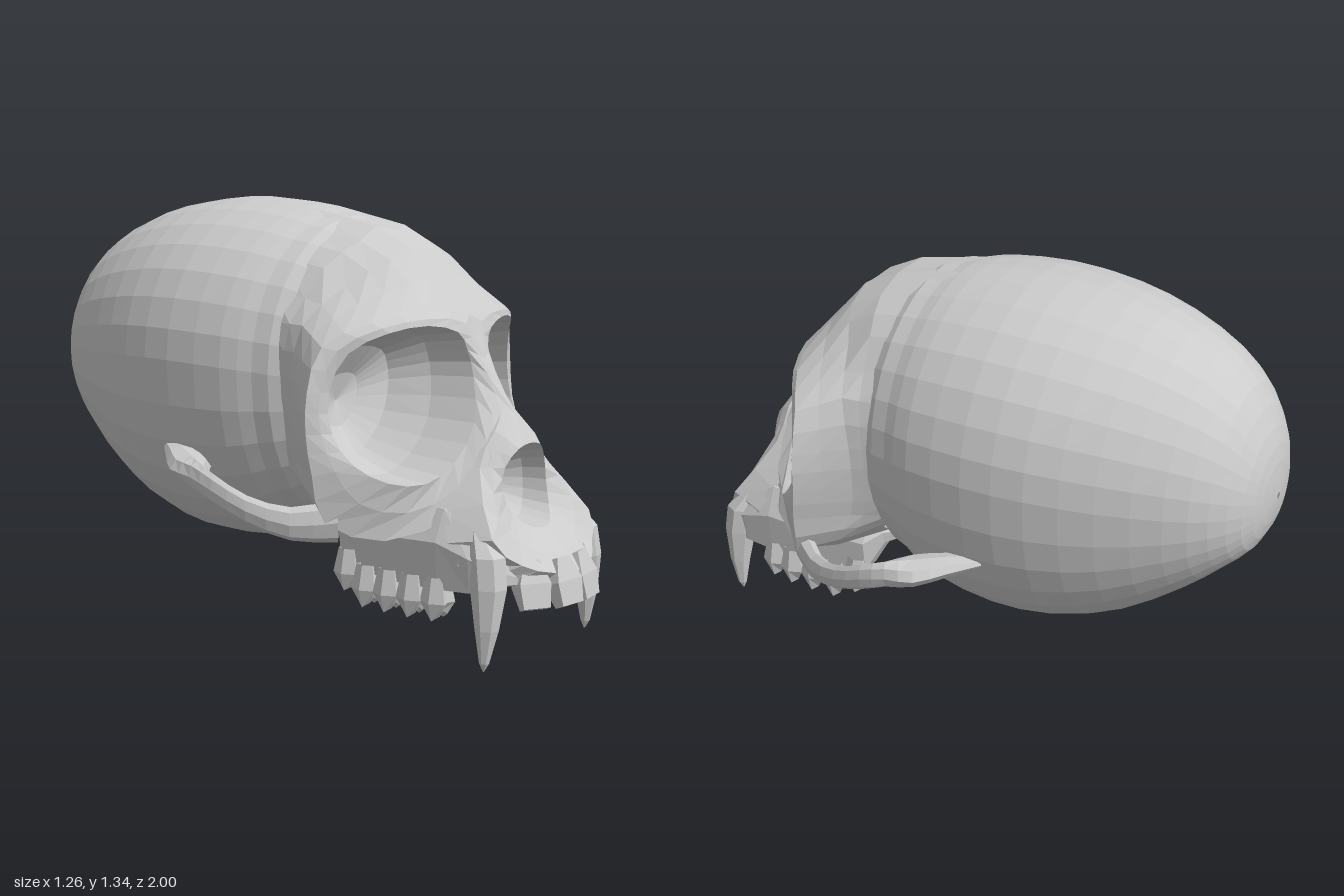
import * as THREE from 'three';

const V = (x, y, z) => new THREE.Vector3(x, y, z);
const vecs = (list) => list.map((p) => V(...p));
const bone = new THREE.MeshStandardMaterial({ color: 0xcccccc, flatShading: true, side: THREE.DoubleSide });

// Smooth a row of points into n steps
function refine(points, n, closed) {
  const pts = new THREE.CatmullRomCurve3(points, closed, 'catmullrom', 0.5).getPoints(n);
  return closed ? pts.slice(0, n) : pts;
}

// Smooth a stack of rings lengthwise
function refineRings(rings, n) {
  const rows = rings[0].map((_, j) => refine(rings.map((r) => r[j]), n, false));
  return Array.from({ length: n + 1 }, (_, i) => rows.map((r) => r[i]));
}

// Skin between consecutive rings of equal length
function loft(rings, closed = true) {
  const m = rings[0].length, pos = [], index = [];
  rings.forEach((r) => r.forEach((p) => pos.push(p.x, p.y, p.z)));
  for (let i = 0; i < rings.length - 1; i++) {
    for (let j = 0; j < (closed ? m : m - 1); j++) {
      const k = (j + 1) % m, a = i * m + j, b = i * m + k, c = b + m, d = a + m;
      index.push(a, b, d, b, c, d);
    }
  }
  const g = new THREE.BufferGeometry();
  g.setAttribute('position', new THREE.Float32BufferAttribute(pos, 3));
  g.setIndex(index);
  g.computeVertexNormals();
  return g;
}

function mirrored(geo) {
  const g = geo.clone().scale(-1, 1, 1), ix = g.index.array;
  for (let i = 0; i < ix.length; i += 3) [ix[i], ix[i + 1]] = [ix[i + 1], ix[i]];
  g.computeVertexNormals();
  return g;
}

// Move ring towards a point, by different amounts across and in depth
const pull = (ring, c, across, depth) => ring.map((p) => V(
  p.x + (c.x - p.x) * across, p.y + (c.y - p.y) * across, p.z + (c.z - p.z) * depth));

function craniumGeometry() {
  // z, bottom, top, half width, height of widest point
  const sections = [
    [-1, 0.79, 0.81, 0.01, 0.8], [-0.99, 0.71, 0.91, 0.1, 0.8], [-0.96, 0.63, 1.01, 0.19, 0.81],
    [-0.89, 0.56, 1.13, 0.275, 0.82], [-0.78, 0.46, 1.22, 0.35, 0.83], [-0.6, 0.33, 1.295, 0.43, 0.84],
    [-0.4, 0.25, 1.335, 0.49, 0.85], [-0.2, 0.23, 1.345, 0.51, 0.85], [0, 0.255, 1.325, 0.49, 0.84],
    [0.1, 0.31, 1.3, 0.455, 0.83], [0.2, 0.365, 1.265, 0.415, 0.82], [0.235, 0.5, 1.1, 0.25, 0.8],
    [0.24, 0.78, 0.82, 0.01, 0.8]];
  const rings = sections.map(([z, lo, hi, w, mid]) => Array.from({ length: 32 }, (_, j) => {
    const a = (j / 32) * Math.PI * 2, s = Math.sin(a), c = Math.cos(a);
    // the underside is a little squarer than the vault
    if (s >= 0) return V(w * c, mid + s * (hi - mid), z);
    return V(w * Math.sign(c) * Math.abs(c) ** 0.82, mid - (-s) ** 0.9 * (mid - lo), z);
  }));
  return loft(refineRings(rings, 24));
}

// Eye socket with brow, cheek and the wall behind it, one side
function orbitGeometry() {
  const rim = vecs([[0.09, 0.955, 0.6], [0.2, 0.98, 0.57], [0.33, 0.965, 0.52], [0.43, 0.91, 0.45],
    [0.475, 0.8, 0.415], [0.48, 0.68, 0.43], [0.455, 0.59, 0.49], [0.38, 0.535, 0.56], [0.28, 0.525, 0.62],
    [0.19, 0.58, 0.66], [0.1, 0.69, 0.67], [0.05, 0.82, 0.63], [0.055, 0.9, 0.61]]);
  const edge = vecs([[0, 1.0, 0.58], [0.18, 1.02, 0.55], [0.36, 0.995, 0.48], [0.49, 0.93, 0.4],
    [0.54, 0.8, 0.385], [0.545, 0.68, 0.385], [0.535, 0.56, 0.4], [0.5, 0.42, 0.42], [0.37, 0.36, 0.54],
    [0.25, 0.45, 0.72], [0.13, 0.6, 0.755], [0, 0.72, 0.74], [0, 0.87, 0.635]]);
  const back = vecs([[0, 1.185, 0.42], [0.16, 1.165, 0.4], [0.29, 1.09, 0.33], [0.42, 0.98, 0.27],
    [0.44, 0.82, 0.24], [0.43, 0.68, 0.24], [0.42, 0.56, 0.26], [0.42, 0.45, 0.31], [0.3, 0.34, 0.42],
    [0.24, 0.4, 0.6], [0.13, 0.58, 0.66], [0, 0.69, 0.66], [0, 0.86, 0.56]]);
  const join = vecs([[0, 1.302, 0.06], [0.17, 1.258, 0.06], [0.29, 1.17, 0.08], [0.39, 0.98, 0.1],
    [0.4, 0.82, 0.12], [0.38, 0.68, 0.13], [0.36, 0.56, 0.15], [0.32, 0.48, 0.2], [0.24, 0.42, 0.25],
    [0.2, 0.42, 0.55], [0.13, 0.58, 0.62], [0, 0.69, 0.62], [0, 0.86, 0.52]]);
  const [r, e, b, q] = [rim, edge, back, join].map((row) => refine(row, 26, true).map((p) => V(Math.max(0, p.x), p.y, p.z)));
  const between = (s, t, push) => s.map((p, i) => p.clone().lerp(t[i], 0.5).add(V(0, 0, push)));
  // rounded forehead above the brow
  const crown = b.map((p, i) => p.clone().lerp(q[i], 0.33).add(V(0, p.y > 1.05 ? 0.024 : 0, 0)));
  const apex = V(0.26, 0.74, 0.27);
  return loft([pull(r, apex, 1, 1), pull(r, apex, 0.65, 0.93), pull(r, apex, 0.3, 0.75), pull(r, apex, 0.08, 0.4),
    r, between(r, e, 0.008), e, between(e, b, 0), b, crown, q]);
}

// Nasal opening and front of the upper jaw, one side
function noseGeometry() {
  const rim = vecs([[0, 0.63, 0.8], [0.06, 0.62, 0.8], [0.11, 0.57, 0.785], [0.122, 0.5, 0.785],
    [0.1, 0.43, 0.81], [0.05, 0.39, 0.845], [0, 0.385, 0.86]]);
  const outer = vecs([[0, 0.75, 0.715], [0.09, 0.67, 0.735], [0.17, 0.57, 0.735], [0.275, 0.39, 0.85],
    [0.2, 0.31, 0.905], [0.11, 0.28, 0.955], [0, 0.27, 0.975]]);
  const back = vecs([[0, 0.73, 0.6], [0.12, 0.64, 0.62], [0.22, 0.53, 0.64], [0.31, 0.37, 0.72],
    [0.28, 0.26, 0.8], [0.14, 0.24, 0.9], [0, 0.24, 0.92]]);
  const [r, o, b] = [rim, outer, back].map((row) => refine(row, 12, false));
  const middle = r.map((p, i) => p.clone().lerp(o[i], 0.55).add(V(0, 0, 0.006)));
  const pit = V(0, 0.5, 0.62);
  return loft([pull(r, pit, 1, 1), pull(r, pit, 0.5, 0.9), pull(r, pit, 0.12, 0.45), r, middle, o, b], false);
}

// Upper jaw with hollow palate, one side
function jawGeometry() {
  // z, half width, palate height, tooth edge height, shoulder height
  const slices = [[0.19, 0.17, 0.38, 0.37, 0.4], [0.26, 0.24, 0.36, 0.35, 0.42], [0.31, 0.29, 0.34, 0.25, 0.43],
    [0.5, 0.315, 0.32, 0.225, 0.45], [0.68, 0.315, 0.31, 0.225, 0.46], [0.79, 0.31, 0.3, 0.23, 0.4],
    [0.86, 0.3, 0.3, 0.26, 0.34], [0.885, 0.2, 0.28, 0.25, 0.29], [0.93, 0.1, 0.265, 0.25, 0.27]];
  return loft(slices.map(([z, w, roof, low, top]) => vecs([[0, roof, z], [w * 0.6, roof - 0.01, z], [w * 0.74, low, z],
    [w * 0.97, low, z], [w, low * 0.4 + top * 0.6, z], [w * 0.86, top, z], [w * 0.68, top, z],
    [w * 0.45, Math.min(top, 0.36), z], [0, Math.min(top, 0.36), z]])), false);
}

// Cheek arch standing clear of the braincase
function archGeometry() {
  // x, y, z, height, thickness
  const path = [[0.45, 0.42, 0.43, 0.13, 0.07], [0.535, 0.41, 0.32, 0.1, 0.055], [0.59, 0.445, 0.2, 0.085, 0.04],
    [0.612, 0.495, 0.09, 0.09, 0.035], [0.598, 0.525, 0.01, 0.09, 0.06], [0.555, 0.535, -0.06, 0.08, 0.13],
    [0.5, 0.555, -0.15, 0.06, 0.1], [0.45, 0.57, -0.24, 0.03, 0.05]];
  const rings = path.map(([x, y, z, h, t], i) => {
    const a = path[Math.max(0, i - 1)], b = path[Math.min(path.length - 1, i + 1)];
    const side = V(a[2] - b[2], 0, b[0] - a[0]).normalize();
    return Array.from({ length: 8 }, (_, j) => {
      const u = (j / 8) * Math.PI * 2;
      return V(x, y - Math.sin(u) * h / 2, z).addScaledVector(side, Math.cos(u) * t / 2);
    });
  });
  return loft(refineRings(rings, 14));
}

function canineGeometry() {
  const steps = [[0.25, 0.42, 0.78, 0.02], [0.262, 0.34, 0.825, 0.056], [0.27, 0.25, 0.838, 0.055],
    [0.283, 0.13, 0.842, 0.036], [0.289, 0.03, 0.838, 0.015], [0.289, 0.005, 0.836, 0.002]];
  return loft(steps.map(([x, y, z, r]) => Array.from({ length: 7 }, (_, j) => {
    const a = (j / 7) * Math.PI * 2;
    return V(x + r * Math.cos(a), y, z + r * Math.sin(a));
  })));
}

// Spade-shaped front tooth, leaning forward
function incisorGeometry(x, z, w, turn) {
  const g = new THREE.BoxGeometry(w, 0.14, 0.06, 2, 2, 1), p = g.attributes.position;
  for (let i = 0; i < p.count; i++) {
    const y = p.getY(i);
    if (y > 0.01) p.setX(i, p.getX(i) * 0.5);
    if (y < -0.01) p.setXYZ(i, p.getX(i) * 0.85, y, p.getZ(i) * 0.5);
  }
  g.rotateX(-0.4).rotateY(turn).translate(x, 0.242, z);
  g.computeVertexNormals();
  return g;
}

// Cheek tooth with an outer and an inner cusp
function molarGeometry(z, x, y) {
  const ring = (w, d, h, cusp) => vecs([[w, h - cusp, 0], [w * 0.6, h, d], [0, h + cusp, d * 0.8], [-w * 0.6, h, d],
    [-w, h - cusp, 0], [-w * 0.6, h, -d], [0, h + cusp, -d * 0.8], [w * 0.6, h, -d]]);
  return loft([ring(0.032, 0.03, 0.07, 0), ring(0.047, 0.044, -0.005, 0), ring(0.032, 0.022, -0.045, 0.015),
    ring(0.001, 0.001, -0.025, 0)]).translate(x, y, z);
}

export function createModel() {
  const skull = new THREE.Group();
  skull.name = 'skull';
  const add = (name, geo) => {
    const mesh = new THREE.Mesh(geo, bone);
    mesh.name = name;
    skull.add(mesh);
  };
  const pair = (name, geo) => {
    add(name + 'Left', geo);
    add(name + 'Right', mirrored(geo));
  };

  add('cranium', craniumGeometry());
  pair('eyeSocket', orbitGeometry());
  pair('nose', noseGeometry());
  pair('upperJaw', jawGeometry());
  pair('cheekArch', archGeometry());
  pair('canine', canineGeometry());
  pair('innerIncisor', incisorGeometry(0.053, 0.953, 0.112, 0.12));
  pair('outerIncisor', incisorGeometry(0.148, 0.905, 0.1, 0.55));
  [[0.67, 0.285], [0.59, 0.295], [0.505, 0.295], [0.42, 0.29], [0.34, 0.275]].forEach(([z, x], i) =>
    pair('molar' + (i + 1), molarGeometry(z, x, i === 4 ? 0.225 : 0.19)));
  return skull;
}
